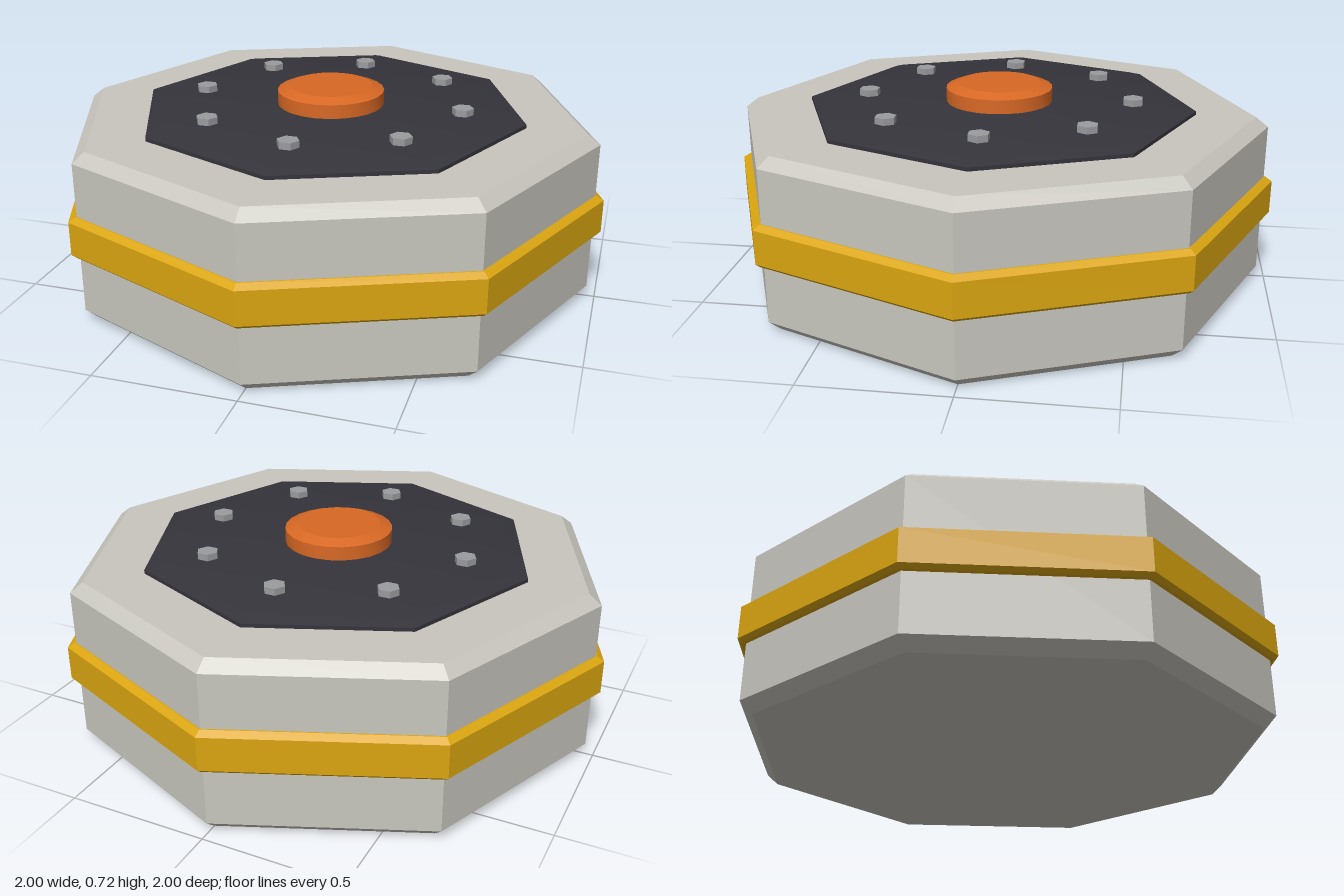
import * as THREE from 'three';
import { toCreasedNormals } from 'three/addons/utils/BufferGeometryUtils.js';

function material(name, color) {
  const m = new THREE.MeshStandardMaterial({ color });
  m.name = name;
  return m;
}

// Turned part from [radius, height] pairs, listed bottom to top
function turned(name, profile, sides, mat) {
  const points = profile.map(([r, y]) => new THREE.Vector2(r, y));
  const geometry = toCreasedNormals(new THREE.LatheGeometry(points, sides), 0.35);
  const mesh = new THREE.Mesh(geometry, mat);
  mesh.name = name;
  return mesh;
}

export function createModel() {
  const shell = material('light grey shell', 0xc8c6be);
  const yellow = material('warning yellow', 0xdaa510);
  const dark = material('dark plate', 0x35343b);
  const orange = material('orange button', 0xd86824);
  const steel = material('bolt steel', 0x9a9b9e);

  const model = new THREE.Group();
  model.name = 'octagonalDevice';

  // Octagonal body with chamfered rims
  model.add(turned('body', [
    [0, 0], [0.925, 0], [0.97, 0.04], [0.97, 0.585], [0.925, 0.62], [0, 0.62],
  ], 8, shell));

  // Raised band around the middle
  model.add(turned('band', [
    [0.96, 0.247], [0.985, 0.247], [1, 0.26], [1, 0.38], [0.975, 0.395], [0.96, 0.395],
  ], 8, yellow));

  // Top plate
  model.add(turned('topPlate', [
    [0, 0.618], [0.713, 0.618], [0.713, 0.633], [0.655, 0.65], [0, 0.65],
  ], 8, dark));

  // Central push button
  model.add(turned('button', [
    [0, 0.645], [0.194, 0.645], [0.194, 0.7], [0.15, 0.717], [0, 0.717],
  ], 24, orange));

  // Ring of eight hexagonal bolts
  const bolts = new THREE.Group();
  bolts.name = 'bolts';
  for (let i = 0; i < 8; i++) {
    const a = (i * Math.PI) / 4;
    const bolt = turned('bolt', [
      [0, 0.645], [0.039, 0.645], [0.039, 0.674], [0, 0.674],
    ], 6, steel);
    bolt.position.set(Math.sin(a) * 0.487, 0, Math.cos(a) * 0.487);
    bolt.rotation.y = Math.PI / 6;
    bolts.add(bolt);
  }
  model.add(bolts);

  return model;
}
